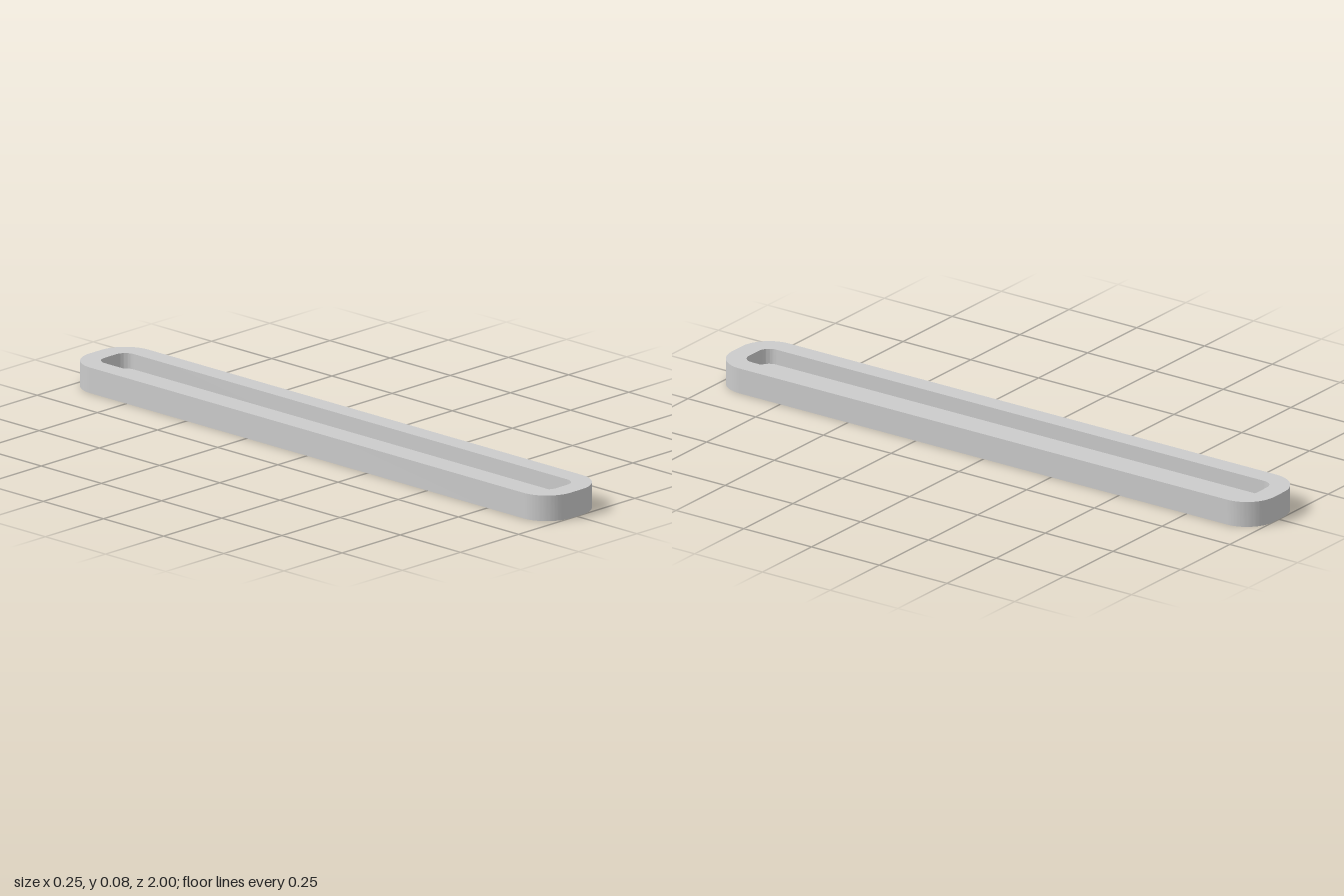
import * as THREE from 'three';
import { toCreasedNormals } from 'three/addons/utils/BufferGeometryUtils.js';

const material = new THREE.MeshStandardMaterial({ color: 0xcccccc });

// Trace a rounded rectangle with half sizes hx, hz and corner radius r
function roundedRect(path, hx, hz, r) {
  path.moveTo(hx, -hz + r);
  path.absarc(hx - r, hz - r, r, 0, Math.PI / 2);
  path.absarc(-hx + r, hz - r, r, Math.PI / 2, Math.PI);
  path.absarc(-hx + r, -hz + r, r, Math.PI, Math.PI * 1.5);
  path.absarc(hx - r, -hz + r, r, Math.PI * 1.5, Math.PI * 2);
  return path;
}

// Extrude a plan outline upwards from y0 to y1
function slab(name, shape, y0, y1) {
  const geometry = new THREE.ExtrudeGeometry(shape, { depth: y1 - y0, bevelEnabled: false, curveSegments: 16 });
  geometry.rotateX(-Math.PI / 2);
  geometry.translate(0, y0, 0);
  const mesh = new THREE.Mesh(toCreasedNormals(geometry, 0.6), material);
  mesh.name = name;
  return mesh;
}

export function createModel() {
  const group = new THREE.Group();
  group.name = 'recessedHandle';

  // Thick outer rim with a long rounded opening
  const rim = roundedRect(new THREE.Shape(), 0.125, 1, 0.1);
  rim.holes.push(roundedRect(new THREE.Path(), 0.0625, 0.9375, 0.0375));
  group.add(slab('rim', rim, 0, 0.08));

  // Thin plate closing the opening, recessed above and below
  const plate = roundedRect(new THREE.Shape(), 0.0625, 0.9375, 0.0375);
  group.add(slab('floorPlate', plate, 0.016, 0.032));

  return group;
}
